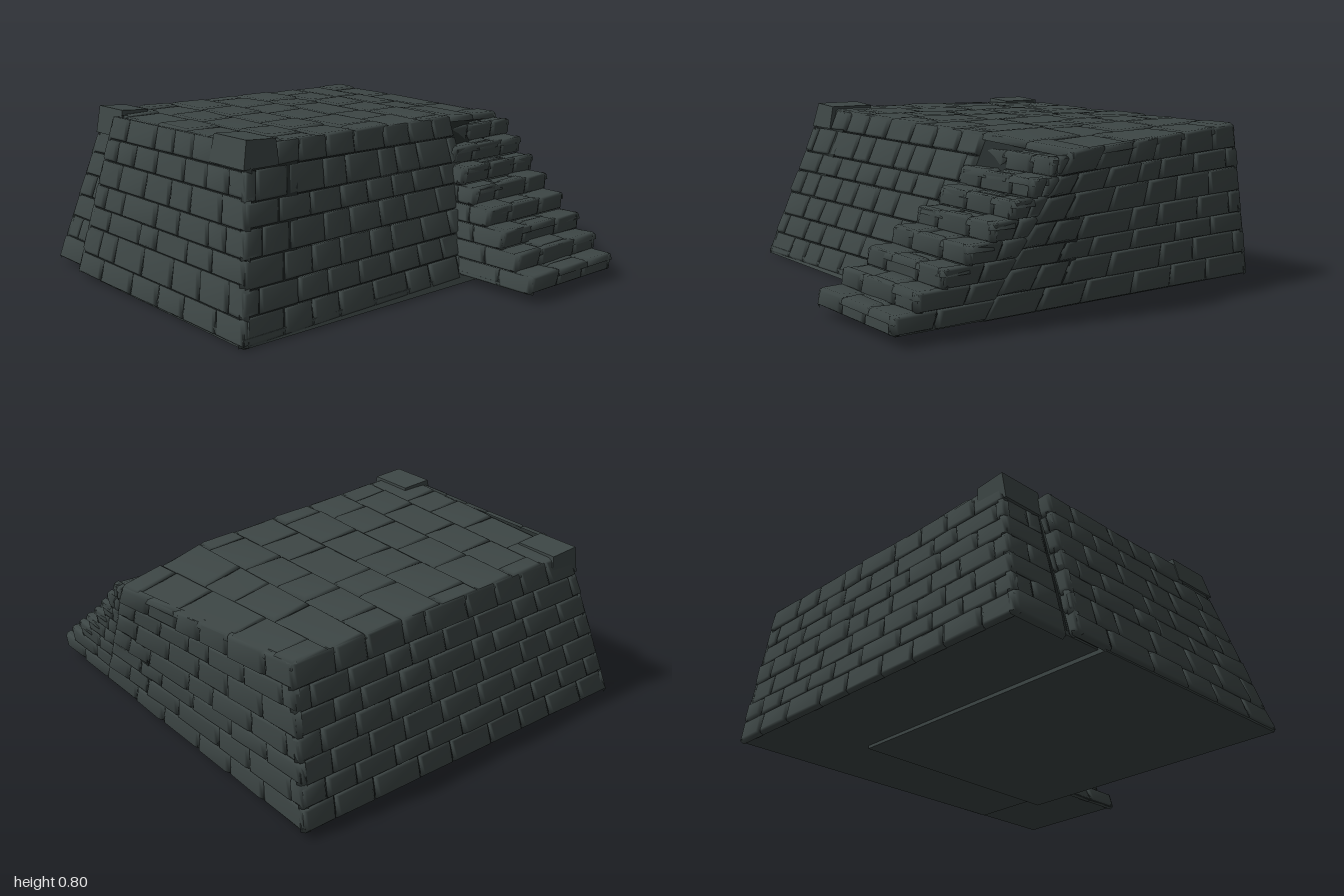
import * as THREE from 'three';
import { mergeGeometries } from 'three/addons/utils/BufferGeometryUtils.js';

const V = (x, y, z) => new THREE.Vector3(x, y, z);
const stone = new THREE.MeshStandardMaterial({ name: 'dark slate stone', color: 0x3d4645 });
const mortar = new THREE.MeshStandardMaterial({ name: 'deep joint', color: 0x262d2c });

let seed = 7;
const rnd = () => ((seed = (seed * 16807) % 2147483647) / 2147483647);
const jitter = (s) => (rnd() - 0.5) * 2 * s;

function indexed(points, index) {
  const g = new THREE.BufferGeometry();
  g.setAttribute('position', new THREE.Float32BufferAttribute(points.flatMap((p) => [p.x, p.y, p.z]), 3));
  g.setIndex(index);
  return g;
}

// Six-sided solid from a lower and an upper ring of corners (counter-clockwise from above)
function hexa(low, high, shrink = 0) {
  const pts = [...low, ...high].map((p) => p.clone());
  const mid = pts.reduce((s, p) => s.add(p), V(0, 0, 0)).divideScalar(8);
  for (const p of pts) for (const k of ['x', 'y', 'z']) p[k] += Math.sign(mid[k] - p[k]) * shrink;
  const idx = [0, 2, 1, 0, 3, 2, 4, 5, 6, 4, 6, 7];
  for (let i = 0; i < 4; i++) {
    const j = (i + 1) % 4;
    idx.push(i, j, j + 4, i, j + 4, i + 4);
  }
  const g = indexed(pts, idx).toNonIndexed();
  g.computeVertexNormals();
  return g;
}

// One worn stone: three nested rings, softly rounded towards its face
function brick(corners, normal) {
  const mid = corners.reduce((s, p) => s.add(p), V(0, 0, 0)).divideScalar(4);
  const pts = [];
  const bulge = jitter(0.005);
  for (const [inset, depth] of [[0.0, -0.03], [0.004, -0.006], [0.016, 0.001 + bulge]]) {
    for (const c of corners) {
      const toMid = mid.clone().sub(c);
      const step = Math.min(inset * 1.4, toMid.length() * 0.4);
      const wear = inset > 0.01 ? jitter(0.004) : 0;
      pts.push(c.clone().addScaledVector(toMid.normalize(), step).addScaledVector(normal, depth + wear));
    }
  }
  const idx = [8, 9, 10, 8, 10, 11];
  for (let r = 0; r < 8; r += 4) {
    for (let i = 0; i < 4; i++) {
      const j = (i + 1) % 4;
      idx.push(r + i, r + j, r + j + 4, r + i, r + j + 4, r + i + 4);
    }
  }
  const g = indexed(pts, idx);
  g.computeVertexNormals();
  return g;
}

// Staggered courses over a quad: a, b along the bottom, c, d along the top, seen from outside
function courses([a, b, c, d], rows, cols) {
  const at = (u, v) => a.clone().lerp(b, u).lerp(d.clone().lerp(c, u), v);
  const normal = c.clone().sub(a).cross(d.clone().sub(b)).normalize();
  const out = [];
  const edge = [...Array(rows + 1)].map((_, r) => (r + (r % rows ? jitter(0.1) : 0)) / rows);
  for (let r = 0; r < rows; r++) {
    const cuts = [0];
    const shift = r % 2 ? 0.5 : 0;
    for (let k = 1; k < cols + (shift ? 1 : 0); k++) cuts.push((k - shift + jitter(0.22)) / cols);
    cuts.push(1);
    for (let k = 0; k < cuts.length - 1; k++) {
      const [u0, u1, v0, v1] = [cuts[k], cuts[k + 1], edge[r], edge[r + 1]];
      out.push(brick([at(u0, v0), at(u1, v0), at(u1, v1), at(u0, v1)], normal));
    }
  }
  return out;
}

export function createModel() {
  const group = new THREE.Group();
  const add = (name, geos, mat = stone) => {
    const mesh = new THREE.Mesh(mergeGeometries(geos), mat);
    mesh.name = name;
    group.add(mesh);
  };

  // Platform corners: front, middle and back sections, bottom (b) and top (t)
  const bFL = V(-1, 0.03, 0.95), bFR = V(0.61, 0.01, 1), tFL = V(-0.87, 0.765, 0.73), tFR = V(0.39, 0.78, 0.8);
  const bML = V(-1, 0.03, -0.5), bMR = V(0.59, 0.03, -0.5), tML = V(-0.885, 0.755, -0.5), tMR = V(0.3, 0.745, -0.52);
  const bBL = V(-1, 0.03, -0.89), bBR = V(0.58, 0.04, -0.92), tBL = V(-0.895, 0.745, -0.87), tBR = V(0.19, 0.7, -0.995);
  const bIn = V(-0.72, 0.025, 1), tIn = V(-0.67, 0.77, 0.8);
  const bInBack = V(-0.72, 0.025, 0.95), tInBack = V(-0.67, 0.77, 0.73);

  add('platformCore', [
    hexa([bFL, V(0.61, 0.01, 0.95), bMR, bML], [tFL, V(0.39, 0.78, 0.74), tMR, tML], 0.014),
    hexa([bML, bMR, bBR, bBL].map((p) => p.clone().setZ(p.z === -0.5 ? -0.46 : p.z)),
      [tML, tMR, tBR, tBL].map((p) => p.clone().setZ(p.z > -0.6 ? -0.46 : p.z)), 0.014),
    hexa([bIn, bFR, V(0.61, 0.01, 0.7), V(-0.72, 0.03, 0.7)],
      [tIn, tFR, V(0.39, 0.77, 0.5), V(-0.67, 0.76, 0.5)], 0.014),
  ], mortar);

  // Battered walls
  add('frontWall', courses([bIn, bFR, tFR, tIn], 7, 6));
  add('frontLeftStrip', courses([bFL, bInBack, tInBack, tFL], 7, 1));
  add('stripReturn', courses([bInBack, bIn, tIn, tInBack], 7, 1));
  add('leftWall', courses([bBL, bFL, tFL, tBL], 7, 9));
  add('rightWall', courses([bFR, bMR, tMR, tFR], 7, 8));
  add('backWall', courses([bBR, bBL, tBL, tBR], 7, 6));

  // Paved top
  add('paving', [
    ...courses([tFL, tFR, tMR, tML], 6, 5),
    ...courses([tML, tMR, tBR, tBL], 2, 4),
  ]);

  // Raised corner stones on the front edge
  const slab = (x0, x1, z0, z1, y0, y1, lean) => hexa(
    [V(x0, y0, z1 + lean), V(x1 + 0.02, y0, z1 + lean), V(x1 + 0.02, y0, z0), V(x0, y0, z0)],
    [V(x0, y1, z1), V(x1, y1, z1), V(x1, y1 - 0.01, z0), V(x0, y1 - 0.01, z0)]);
  add('cornerStones', [
    slab(0.17, 0.395, 0.65, 0.805, 0.68, 0.8, 0.03),
    slab(-0.88, -0.67, 0.6, 0.745, 0.66, 0.79, 0.025),
  ]);

  // Foundation and underside
  const plate = (x0, x1, z0, z1, y0, y1) => hexa(
    [V(x0, y0, z1), V(x1, y0, z1), V(x1, y0, z0), V(x0, y0, z0)],
    [V(x0, y1, z1), V(x1, y1, z1), V(x1, y1, z0), V(x0, y1, z0)]);
  add('foundation', [
    hexa([V(-0.54, 0.012, 0.98), V(0.6, 0, 0.99), V(0.6, 0.005, -0.5), V(-0.54, 0.015, -0.5)],
      [V(-0.54, 0.05, 0.98), V(0.6, 0.04, 0.99), V(0.58, 0.05, -0.5), V(-0.54, 0.05, -0.5)]),
    plate(-0.98, 0.57, -0.885, 0.94, 0.03, 0.05),
    plate(0.4, 0.985, -0.91, -0.31, 0.042, 0.06),
  ]);

  // Side stairs, tapering as they climb
  const edges = [1, 0.9, 0.79, 0.68, 0.57, 0.47, 0.38, 0.29];
  const cores = [], blocks = [];
  edges.forEach((x, i) => {
    const y0 = i ? 0.04 + 0.08 * i : 0.045, y1 = 0.12 + 0.08 * i;
    const t0 = (y0 - 0.04) / 0.66, t1 = (y1 - 0.04) / 0.66;
    const f0 = -0.3 - 0.2 * t0, f1 = -0.3 - 0.2 * t1;
    const k0 = -0.915 - 0.07 * t0, k1 = -0.915 - 0.07 * t1;
    const next = i < 7 ? edges[i + 1] - 0.02 : 0.17;
    const w0 = 0.56 - 0.38 * t0, w1 = 0.56 - 0.38 * t1;
    cores.push(hexa([V(0.1, y0, f0), V(x, y0, f0), V(x, y0, k0), V(0.1, y0, k0)],
      [V(0.1, y1, f1), V(x, y1, f1), V(x, y1, k1), V(0.1, y1, k1)], 0.012));
    blocks.push(
      ...courses([V(next, y1, f1), V(x, y1, f1), V(x, y1, k1), V(next, y1, k1)], 3, 1),
      ...courses([V(x, y0, f0), V(x, y0, k0), V(x, y1, k1), V(x, y1, f1)], 1, 3),
      ...courses([V(w0, y0, f0), V(x, y0, f0), V(x, y1, f1), V(w1, y1, f1)], 1, 2),
      ...courses([V(x, y0, k0), V(w0, y0, k0), V(w1, y1, k1), V(x, y1, k1)], 1, 2));
  });
  add('stairCore', cores, mortar);
  add('stairStones', blocks);

  return group;
}
